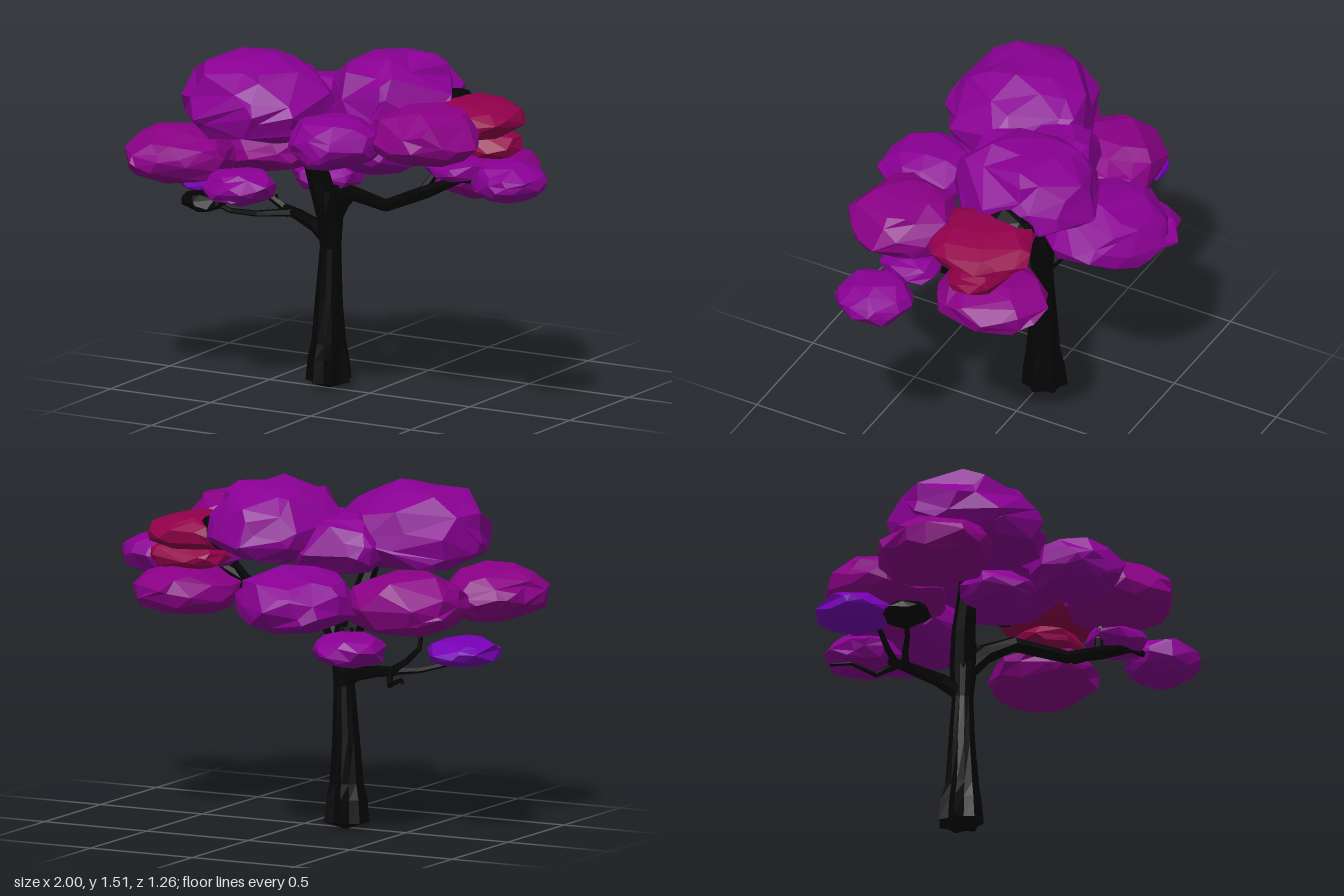
import * as THREE from 'three';
import { ConvexGeometry } from 'three/addons/geometries/ConvexGeometry.js';

const BARK = 0x040404, PURPLE = 0x8a0094, MAGENTA = 0x8a0086, VIOLET = 0x7600b4, CRIMSON = 0x92004a;

function material(color) {
  return new THREE.MeshStandardMaterial({ color, flatShading: true });
}

// Small seeded generator, values 0..1
function seeded(seed) {
  let s = seed * 7919 + 17;
  return () => {
    s = (s * 16807) % 2147483647;
    return s / 2147483647;
  };
}

// Faceted leaf clump: irregular hull of scattered directions, dented, with a
// full crown and a flatter underside; dome (0..0.5) lowers its widest level
function clumpGeometry(seed, rx, ry, rz, count, dome) {
  const rand = seeded(seed);
  for (let i = 0; i < 5; i++) rand();
  const dirs = [];
  for (let i = 0; i < count; i++) {
    const y = 1 - (2 * (i + 0.5)) / count;
    const a = i * 2.39996 + (rand() - 0.5) * 0.9;
    const r = Math.sqrt(1 - y * y);
    const v = new THREE.Vector3(r * Math.cos(a), y + (rand() - 0.5) * 0.25, r * Math.sin(a));
    dirs.push(v.normalize());
  }
  const phase = rand() * 6;
  const geo = new ConvexGeometry(dirs);
  const pos = geo.attributes.position;
  for (let i = 0; i < pos.count; i++) {
    const x = pos.getX(i), y = pos.getY(i), z = pos.getZ(i);
    const d = 0.98 + 0.05 * Math.sin(x * 7 + phase) * Math.cos(z * 6 - phase) + 0.05 * Math.sin(y * 23 + x * 17 + phase);
    const full = Math.pow(Math.max(Math.hypot(x, z), 0.05), -0.15) * d;
    pos.setXYZ(i, x * full * rx, y * d * ry * (y > 0 ? 1 + dome : 1 - dome), z * full * rz);
  }
  geo.computeVertexNormals();
  return geo;
}

// Tapered limb through points [x, y, z, radius]; lobe(i) gives the ridge depth of ring i
function limbGeometry(points, sides, lobe = () => 0) {
  const centres = points.map(p => new THREE.Vector3(p[0], p[1], p[2]));
  const up = new THREE.Vector3(0, 1, 0);
  const verts = [], index = [];
  points.forEach((p, i) => {
    const before = centres[Math.max(i - 1, 0)], after = centres[Math.min(i + 1, points.length - 1)];
    const q = new THREE.Quaternion().setFromUnitVectors(up, after.clone().sub(before).normalize());
    for (let j = 0; j < sides; j++) {
      const a = (j / sides) * Math.PI * 2;
      const r = p[3] * (1 - (j % 2) * lobe(i));
      const v = new THREE.Vector3(Math.cos(a) * r, 0, -Math.sin(a) * r).applyQuaternion(q).add(centres[i]);
      verts.push(v.x, v.y, v.z);
    }
  });
  for (let i = 0; i < points.length - 1; i++) {
    for (let j = 0; j < sides; j++) {
      const a = i * sides + j, b = i * sides + ((j + 1) % sides);
      index.push(a, b, b + sides, a, b + sides, a + sides);
    }
  }
  // end caps
  const last = (points.length - 1) * sides;
  for (let j = 1; j < sides - 1; j++) {
    index.push(0, j + 1, j, last, last + j, last + j + 1);
  }
  const geo = new THREE.BufferGeometry();
  geo.setAttribute('position', new THREE.Float32BufferAttribute(verts, 3));
  geo.setIndex(index);
  geo.computeVertexNormals();
  return geo;
}

export function createModel() {
  const tree = new THREE.Group();
  tree.name = 'tree';
  const bark = material(BARK);

  const addLimb = (name, points, sides, lobe) => {
    const mesh = new THREE.Mesh(limbGeometry(points, sides, lobe), bark);
    mesh.name = name;
    tree.add(mesh);
  };

  // Trunk with ridged root flare and a shallow point underneath
  addLimb('trunk', [
    [-0.215, 0.0, -0.02, 0.012], [-0.215, 0.03, -0.02, 0.102], [-0.215, 0.13, -0.018, 0.092],
    [-0.212, 0.2, -0.015, 0.077], [-0.212, 0.4, -0.015, 0.06], [-0.205, 0.62, -0.015, 0.046],
    [-0.205, 0.78, -0.01, 0.06], [-0.215, 0.88, 0, 0.055],
  ], 14, i => [0, 0.22, 0.2, 0.12, 0.03, 0, 0, 0][i]);

  // Main forks
  addLimb('upperFork', [
    [-0.21, 0.76, -0.01, 0.055], [-0.24, 0.92, 0.02, 0.052], [-0.265, 1.06, 0.06, 0.042], [-0.3, 1.2, 0.1, 0.03],
  ], 8);
  addLimb('longBranch', [
    [-0.2, 0.75, -0.01, 0.05], [-0.12, 0.85, 0.04, 0.045], [-0.02, 0.91, 0.12, 0.033],
    [0.21, 0.9, 0.22, 0.028], [0.42, 0.99, 0.24, 0.03], [0.6, 1.07, 0.25, 0.018], [0.78, 1.08, 0.25, 0.012],
  ], 7);
  addLimb('longBranchSpur', [
    [0.4, 0.98, 0.24, 0.022], [0.45, 1.07, 0.2, 0.018], [0.47, 1.17, 0.2, 0.014],
  ], 6);
  addLimb('longBranchSideSpur', [
    [0.38, 0.97, 0.24, 0.02], [0.43, 1.0, 0.1, 0.015], [0.46, 1.03, -0.04, 0.012],
  ], 6);

  // Low side branch with bare twigs
  addLimb('lowBranch', [
    [-0.2, 0.65, -0.015, 0.042], [-0.3, 0.69, -0.06, 0.032], [-0.42, 0.715, -0.11, 0.026],
    [-0.53, 0.73, -0.15, 0.02],
  ], 7);
  addLimb('lowTwig', [
    [-0.49, 0.722, -0.13, 0.018], [-0.54, 0.68, -0.22, 0.013], [-0.63, 0.72, -0.28, 0.009], [-0.68, 0.72, -0.36, 0.007],
  ], 5);
  addLimb('raisedTwig', [
    [-0.5, 0.725, -0.14, 0.018], [-0.57, 0.77, -0.13, 0.014], [-0.63, 0.83, -0.12, 0.012], [-0.64, 0.9, -0.12, 0.01],
  ], 5);
  addLimb('forwardTwig', [
    [-0.46, 0.72, -0.12, 0.02], [-0.58, 0.72, -0.02, 0.014], [-0.66, 0.74, 0.06, 0.012], [-0.74, 0.79, 0.12, 0.01],
  ], 5);

  // Leaf clumps: name, centre, radii, colour, point count, dome
  const clumps = [
    ['leftCrown', [-0.435, 1.25, 0.2], [0.355, 0.195, 0.34], PURPLE, 85, 0.32],
    ['middleCrown', [0.08, 1.28, -0.09], [0.3, 0.185, 0.33], PURPLE, 80, 0.3],
    ['innerCrown', [-0.2, 1.23, -0.06], [0.25, 0.14, 0.22], PURPLE, 55, 0.15],
    ['backClump', [-0.16, 1.03, -0.355], [0.28, 0.145, 0.28], PURPLE, 70, 0.05],
    ['frontClump', [0.06, 1.19, 0.4], [0.21, 0.115, 0.225], PURPLE, 60, 0.1],
    ['frontRightClump', [0.46, 1.23, 0.29], [0.245, 0.135, 0.25], MAGENTA, 65, 0.2],
    ['innerRightClump', [0.56, 1.1, 0.2], [0.14, 0.055, 0.14], PURPLE, 36, 0],
    ['outerRightClump', [0.835, 1.085, 0.235], [0.165, 0.09, 0.175], PURPLE, 55, 0],
    ['crimsonClump', [0.46, 1.255, -0.09], [0.23, 0.085, 0.25], CRIMSON, 55, 0],
    ['lowerCrimsonClump', [0.5, 1.15, -0.11], [0.19, 0.07, 0.14], CRIMSON, 40, 0],
    ['lowerRightClump', [0.5, 1.01, -0.16], [0.245, 0.11, 0.255], MAGENTA, 65, 0],
    ['outerLeftClump', [-0.765, 1.02, 0.3], [0.24, 0.125, 0.265], MAGENTA, 70, 0.08],
    ['smallFrontClump', [-0.43, 0.935, 0.37], [0.165, 0.08, 0.165], PURPLE, 50, 0.05],
    ['violetClump', [-0.835, 0.835, -0.1], [0.165, 0.065, 0.175], VIOLET, 50, 0],
    ['smallBackClump', [-0.43, 0.85, -0.38], [0.165, 0.08, 0.175], PURPLE, 50, 0],
    ['backLeftClump', [-0.58, 1.02, -0.13], [0.27, 0.14, 0.26], MAGENTA, 70, 0.05],
    ['darkUpperClump', [0.29, 1.28, -0.12], [0.145, 0.085, 0.17], BARK, 40, 0],
    ['darkLowerClump', [-0.75, 0.79, 0.13], [0.11, 0.048, 0.105], BARK, 36, 0],
  ];
  clumps.forEach(([name, centre, radii, color, count, dome], i) => {
    const mesh = new THREE.Mesh(clumpGeometry(i + 3, ...radii, count, dome), material(color));
    mesh.name = name;
    mesh.position.set(...centre);
    tree.add(mesh);
  });

  return tree;
}
